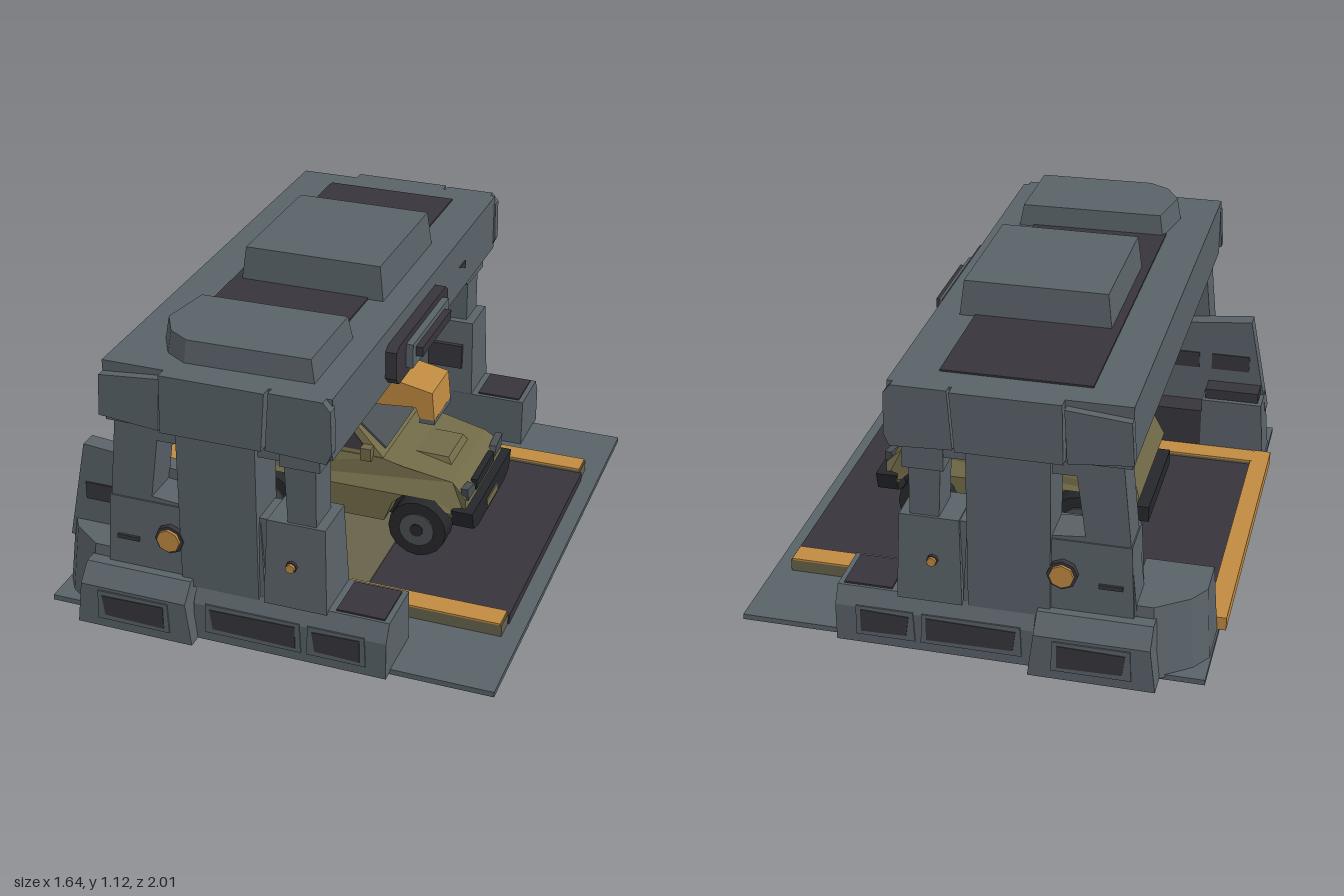
import * as THREE from 'three';

const mat = (name, color) => Object.assign(new THREE.MeshStandardMaterial({ color }), { name });
const grey = mat('steelGrey', 0x596268), dark = mat('darkPanel', 0x37353b), black = mat('rubberBlack', 0x26272b);
const orange = mat('safetyOrange', 0xbf8a40), olive = mat('oliveFloor', 0x66624b), paint = mat('vehicleOlive', 0x716a48);
const glass = mat('glassGrey', 0x4a5054);

export function createModel() {
  const root = new THREE.Group();
  let target = root;
  const group = (name) => { target = new THREE.Group(); target.name = name; root.add(target); };
  const add = (name, geo, m) => {
    const mesh = new THREE.Mesh(geo, m);
    mesh.name = name;
    target.add(mesh);
    return mesh;
  };
  // Moves each vertex by a rule, then refreshes the flat normals
  const warp = (geo, rule) => {
    const p = geo.attributes.position, v = new THREE.Vector3();
    for (let i = 0; i < p.count; i++) { rule(v.fromBufferAttribute(p, i)); p.setXYZ(i, v.x, v.y, v.z); }
    geo.computeVertexNormals();
    return geo;
  };
  // Box from limits, its top drawn in by tx and tz
  const box = (name, m, x0, x1, y0, y1, z0, z1, tx = 0, tz = 0) => {
    const geo = new THREE.BoxGeometry(x1 - x0, y1 - y0, Math.abs(z1 - z0));
    warp(geo, v => { if (v.y > 0) { v.x -= Math.sign(v.x) * tx; v.z -= Math.sign(v.z) * tz; } });
    geo.translate((x0 + x1) / 2, (y0 + y1) / 2, (z0 + z1) / 2);
    return add(name, geo, m);
  };
  const shapeOf = pts => new THREE.Shape(pts.map(p => new THREE.Vector2(...p)));
  const extrude = (pts, depth, holes = []) => {
    const s = shapeOf(pts);
    s.holes = holes.map(shapeOf);
    return new THREE.ExtrudeGeometry(s, { depth, bevelEnabled: false });
  };
  // Prisms along each axis: profiles in (z,y), (x,z) and (x,y)
  const prismX = (name, m, pts, x0, x1) =>
    add(name, extrude(pts.map(([z, y]) => [-z, y]), x1 - x0).rotateY(Math.PI / 2).translate(x0, 0, 0), m);
  const prismY = (name, m, pts, y0, y1) =>
    add(name, extrude(pts.map(([x, z]) => [x, -z]), y1 - y0).rotateX(-Math.PI / 2).translate(0, y0, 0), m);
  const prismZ = (name, m, pts, z0, z1, holes) =>
    add(name, extrude(pts, Math.abs(z1 - z0), holes).translate(0, 0, Math.min(z0, z1)), m);

  // Floor with its marked border
  group('floor');
  box('basePlate', grey, -0.8, 0.82, 0, 0.02, -0.9, 0.9);
  box('floorPanel', dark, -0.76, 0.76, 0.02, 0.055, -0.515, 0.515);
  box('parkingPad', olive, -0.42, 0.24, 0.055, 0.06, -0.51, 0.51);
  box('rearBorder', orange, -0.825, -0.755, 0.02, 0.07, -0.6, 0.6);
  for (const s of [1, -1]) {
    box('borderSide', olive, -0.76, 0.755, 0.02, 0.064, s * 0.51, s * 0.595);
    box('borderTop', orange, -0.76, 0.75, 0.064, 0.071, s * 0.51, s * 0.595);
  }

  for (const s of [1, -1]) {
    group(s > 0 ? 'leftSide' : 'rightSide');
    const side = pts => pts.map(([z, y]) => [s * z, y]);
    // Low plinth: front run, bulging middle, cut rear corner
    prismX('plinthFront', grey, side([[0.71, 0.01], [0.945, 0.01], [0.945, 0.15], [0.91, 0.21], [0.71, 0.21]]), -0.23, 0.46);
    box('plinthFrontTop', dark, 0.27, 0.44, 0.21, 0.216, s * 0.725, s * 0.9);
    const bulge = prismX('plinthBulge', grey, side([[0.71, 0.01], [0.995, 0.01], [0.995, 0.17], [0.94, 0.23], [0.71, 0.23]]), -0.65, -0.22);
    warp(bulge.geometry, v => { if (v.y > 0.16) v.x += v.x < -0.4 ? 0.02 : -0.02; });
    const corner = [[-0.54, 0.6], [-0.795, 0.6], [-0.795, 0.77], [-0.75, 0.84], [-0.64, 0.92], [-0.54, 0.92]].map(([x, z]) => [x, s * z]);
    const rear = prismY('plinthRearCorner', grey, corner, 0.01, 0.27);
    warp(rear.geometry, v => { if (v.y > 0.2) { v.x += v.x < -0.6 ? 0.02 : 0; v.z -= Math.abs(v.z) > 0.7 ? s * 0.03 : 0; } });
    box('plinthInner', dark, -0.56, -0.1, 0.02, 0.22, s * 0.6, s * 0.72);

    // Recessed vents along the plinth
    for (const [x0, x1, z] of [[-0.55, -0.32, 0.995], [-0.17, 0.14, 0.945], [0.2, 0.37, 0.945]]) {
      prismZ('ventFrame', grey, [[x0 - 0.02, 0.045], [x1 + 0.02, 0.045], [x1 + 0.015, 0.158], [x0 - 0.015, 0.158]], s * z, s * (z + 0.005));
      prismZ('vent', dark, [[x0 + 0.01, 0.065], [x1, 0.06], [x1, 0.145], [x0, 0.14]], s * z, s * (z + 0.008));
    }

    // Pillar frame with two openings
    prismZ('pillarFrame', grey,
      [[-0.57, 0.2], [0.2, 0.2], [0.2, 0.8], [-0.51, 0.8]], s * 0.76, s * 0.895,
      [[[-0.39, 0.51], [-0.28, 0.5], [-0.28, 0.73], [-0.36, 0.73]], [[0, 0.51], [0.1, 0.51], [0.09, 0.74], [0, 0.74]]]);
    box('lowerWall', grey, -0.56, 0.02, 0.2, 0.49, s * 0.72, s * 0.91, 0.015, 0.01);
    box('frontPost', grey, 0.02, 0.245, 0.2, 0.515, s * 0.71, s * 0.925, 0.01, 0.02);
    box('centrePillar', grey, -0.28, 0, 0.2, 0.8, s * 0.75, s * 0.92);
    prismX('beamBracket', grey, side([[0.63, 0.79], [0.69, 0.7], [0.9, 0.69], [0.9, 0.79]].map(([z, y]) => s > 0 ? [z + 0.1 > 0.9 ? 0.91 : z + 0.1, Math.max(y, 0.73)] : [z, y])), 0.08, 0.22);
    for (const x of [-0.45, -0.2, 0.06])
      box('innerRecess', dark, x, x + 0.14, 0.32, 0.42, s * 0.704, s * 0.712 + s * 0.01);

    // Lamps with dark surrounds
    for (const [x, y, r] of [[-0.32, 0.37, 0.042], [0.12, 0.36, 0.016]]) {
      add('lampSurround', new THREE.CylinderGeometry(r * 1.25, r * 1.25, 0.02, 8).rotateX(Math.PI / 2).translate(x, y, s * 0.915), dark);
      add('lamp', new THREE.CylinderGeometry(r, r, 0.035, 8).rotateX(Math.PI / 2).translate(x, y, s * 0.918), orange);
    }
    box('wallSlot', dark, -0.52, -0.44, 0.33, 0.345, s * 0.9, s * 0.914);
  }

  // Tall sloping wall, on one side only
  group('tallWall');
  prismZ('wallPanel', grey, [[-0.785, 0.2], [-0.18, 0.2], [-0.18, 0.53], [-0.71, 0.58]], 0.7, 0.765);
  for (const x of [-0.71, -0.51, -0.33])
    for (const z of [0.695, 0.763])
      box('wallWindow', dark, x, x + 0.15, 0.365, 0.43, z, z + 0.008);
  box('wallFoot', dark, -0.76, -0.55, 0.25, 0.31, 0.62, 0.7);

  // Roof beam with banded ends
  group('roof');
  box('roofBeam', grey, -0.54, 0.26, 0.78, 1.0, -0.9, 0.9);
  for (const s of [1, -1]) {
    const bands = [[[-0.55, 0.81], [-0.335, 0.79], [-0.325, 0.98], [-0.54, 0.96]],
      [[-0.325, 0.79], [0.03, 0.79], [0.045, 1.0], [-0.32, 1.0]],
      [[0.04, 0.79], [0.25, 0.78], [0.268, 0.82], [0.265, 0.97], [0.24, 1.0], [0.055, 1.0]]];
    bands.forEach((b, i) => prismZ('beamEnd', grey, b, s * 0.89, s * (i === 1 ? 0.94 : 0.93)));
  }
  box('roofInset', dark, -0.39, 0.115, 1.0, 1.006, -0.8, 0.5);
  box('ceilingPanel', dark, -0.46, 0.18, 0.773, 0.78, -0.68, 0.68);
  box('roofUnit', grey, -0.36, 0.17, 1.0, 1.125, -0.37, 0.17, 0.015, 0.01);
  const hatch = [[-0.38, 0.48], [0.17, 0.47], [0.17, 0.82], [-0.28, 0.83], [-0.36, 0.78], [-0.415, 0.68]];
  const hatchMesh = prismY('roofHatch', grey, hatch, 1.0, 1.08);
  warp(hatchMesh.geometry, v => { if (v.y > 1.04) { v.x = -0.12 + (v.x + 0.12) * 0.95; v.z = 0.65 + (v.z - 0.65) * 0.95; } });
  prismX('signFrame', dark, [[-0.17, 0.82], [-0.14, 0.8], [0.37, 0.8], [0.4, 0.83], [0.4, 0.93], [0.37, 0.945], [-0.14, 0.945], [-0.17, 0.92]], 0.255, 0.3);
  box('signCore', grey, 0.29, 0.325, 0.83, 0.92, -0.1, 0.3);
  box('signSlot', dark, 0.32, 0.35, 0.865, 0.9, -0.05, 0.27);
  prismX('frontMark', dark, [[-0.43, 0.89], [-0.5, 0.89], [-0.5, 0.86], [-0.47, 0.875]], 0.255, 0.266);

  // Service arm below the beam
  group('serviceArm');
  prismZ('arm', orange, [[0, 0.65], [0.22, 0.66], [0.33, 0.67], [0.345, 0.63], [0.4, 0.63], [0.39, 0.735], [0.24, 0.765], [0, 0.755]], 0.095, 0.28);
  box('armTip', grey, 0.345, 0.4, 0.612, 0.632, 0.095, 0.28);
  box('armMount', dark, -0.05, 0.22, 0.745, 0.78, 0.06, 0.3);

  // Off-road vehicle facing +x
  group('vehicle');
  const taper = (mesh, y0, y1, k) =>
    warp(mesh.geometry, v => { v.z *= 1 - k * Math.max(0, Math.min(1, (v.y - y0) / (y1 - y0))); });
  const body = prismZ('body', paint, [[-0.42, 0.2], [-0.45, 0.29], [-0.41, 0.4], [0.19, 0.4], [0.27, 0.385], [0.45, 0.35], [0.505, 0.3], [0.51, 0.22],
    [0.47, 0.2], [0.44, 0.25], [0.4, 0.29], [0.28, 0.29], [0.24, 0.25], [0.21, 0.17], [-0.11, 0.17], [-0.14, 0.25], [-0.18, 0.29], [-0.29, 0.29], [-0.33, 0.25], [-0.36, 0.2]], -0.255, 0.255);
  taper(body, 0.3, 0.4, 0.17);
  warp(body.geometry, v => { if (v.x > 0.44) v.z *= 0.88; });
  box('hoodPanel', paint, 0.22, 0.42, 0.34, 0.39, -0.11, 0.11, 0.03, 0.02).rotation.z = -0.02;
  box('chassis', black, -0.4, 0.48, 0.14, 0.28, -0.15, 0.15);
  taper(prismZ('cabin', paint, [[-0.39, 0.39], [-0.34, 0.51], [-0.3, 0.53], [0.04, 0.53], [0.2, 0.39]], -0.21, 0.21), 0.39, 0.53, 0.2);
  for (const w of [[[-0.34, 0.415], [-0.31, 0.5], [-0.15, 0.5], [-0.15, 0.415]], [[-0.12, 0.415], [-0.12, 0.5], [0.04, 0.5], [0.13, 0.415]]])
    taper(prismZ('sideWindow', dark, w, -0.2145, 0.2145), 0.39, 0.53, 0.2);
  const screen = add('windscreen', new THREE.BoxGeometry(0.15, 0.008, 0.31), glass);
  screen.position.set(0.124, 0.461, 0);
  screen.rotation.z = -Math.atan2(0.14, 0.16);
  prismX('bumper', black, [[-0.25, 0.26], [-0.23, 0.19], [-0.17, 0.17], [0.17, 0.17], [0.23, 0.19], [0.25, 0.26]], 0.46, 0.54);
  box('bumperPlate', paint, 0.535, 0.544, 0.185, 0.22, -0.07, 0.07);
  box('grille', black, 0.49, 0.513, 0.28, 0.32, -0.11, 0.11);
  box('rearBumper', black, -0.48, -0.42, 0.18, 0.24, -0.22, 0.22);
  box('roofRail', dark, -0.1, -0.02, 0.53, 0.56, -0.06, 0.05);
  const device = box('roofDevice', dark, -0.2, 0.08, 0.555, 0.585, -0.07, 0.09, 0.02, 0.01);
  device.name = 'roofDevice';
  for (const s of [1, -1]) {
    prismX('headlight', glass, [[s * 0.12, 0.29], [s * 0.21, 0.29], [s * 0.22, 0.34], [s * 0.14, 0.325]], 0.485, 0.512);
    box('mirror', paint, 0.11, 0.15, 0.39, 0.44, s * 0.2, s * 0.235);
    for (const x of [0.34, -0.235]) {
      const wheel = (name, r, w, z, m) =>
        add(name, new THREE.CylinderGeometry(r, r, w, 16).rotateX(Math.PI / 2).translate(x, 0.168, s * z), m);
      wheel('tyre', 0.108, 0.095, 0.222, black);
      wheel('rim', 0.065, 0.008, 0.272, glass);
      wheel('hub', 0.025, 0.012, 0.274, black);
    }
  }
  // Row of spikes behind the cabin
  for (const z of [-0.13, -0.045, 0.045, 0.13]) {
    const spike = add('rearSpike', new THREE.ConeGeometry(0.03, 0.13, 5), black);
    spike.position.set(-0.41, 0.47, z);
    spike.rotation.z = 0.7;
  }
  box('spikeRail', black, -0.41, -0.34, 0.41, 0.45, -0.17, 0.17);
  return root;
}
